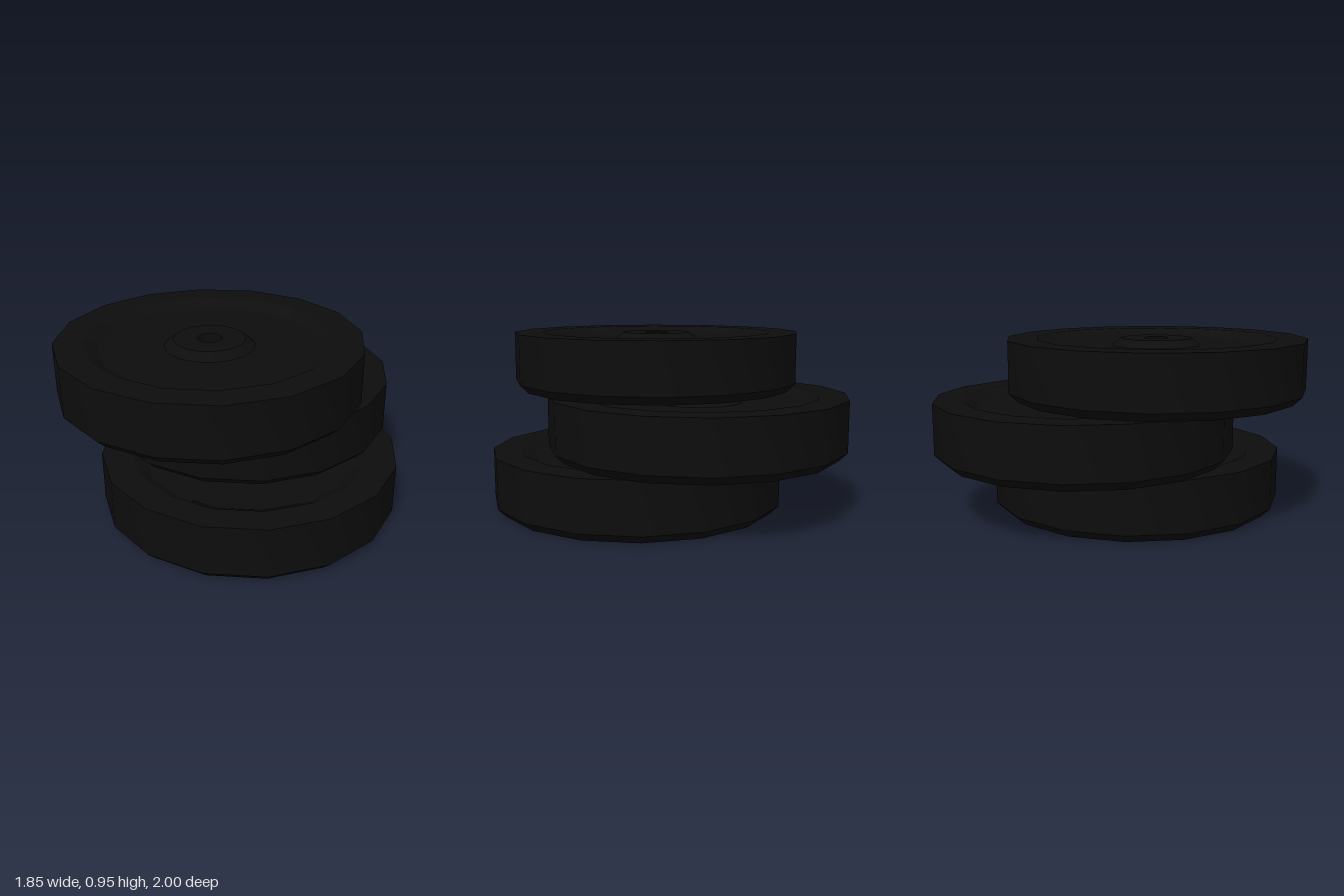
import * as THREE from 'three';
import { toCreasedNormals } from 'three/addons/utils/BufferGeometryUtils.js';

const HEIGHT = 0.318;
const SIDES = 16;

// Closed plate profile: [radius, height], from the bore's foot round the outside
function plateGeometry() {
  const profile = [
    [0.065, 0],
    [0.76, 0],
    [0.807, 0.046],              // bottom chamfer
    [0.807, HEIGHT],             // outer wall
    [0.65, HEIGHT],              // flat rim
    [0.58, HEIGHT - 0.04],       // slope into the dished face
    [0.24, HEIGHT - 0.04],
    [0.19, HEIGHT - 0.002],      // raised hub
    [0.065, HEIGHT - 0.002],
    [0.065, 0],                  // bore through the centre
  ].map(([r, y]) => new THREE.Vector2(r, y));
  return toCreasedNormals(new THREE.LatheGeometry(profile, SIDES), 0.45);
}

export function createModel() {
  const group = new THREE.Group();
  group.name = 'weightPlateStack';

  const blackIron = new THREE.MeshStandardMaterial({ color: 0x0d0d0d });
  blackIron.name = 'blackIron';

  // Three equal plates, loosely stacked
  const geometry = plateGeometry();
  const plates = [
    ['bottomPlate', 0.117, 0.072],
    ['middlePlate', -0.121, -0.193],
    ['topPlate', -0.053, 0.193],
  ];
  plates.forEach(([name, x, z], i) => {
    const plate = new THREE.Mesh(geometry, blackIron);
    plate.name = name;
    plate.position.set(x, i * HEIGHT, z);
    group.add(plate);
  });

  return group;
}
